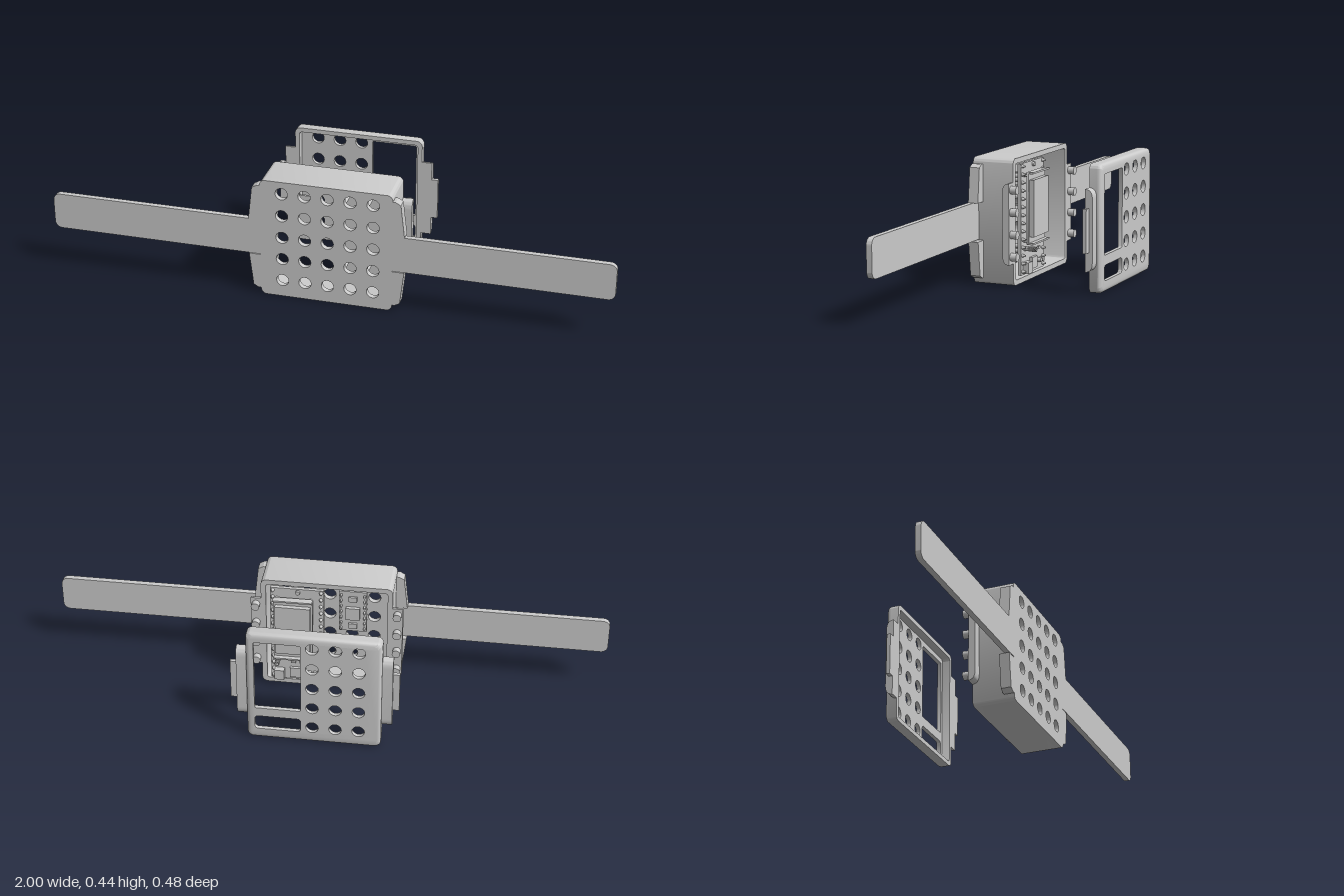
import * as THREE from 'three';
import { toCreasedNormals } from 'three/addons/utils/BufferGeometryUtils.js';

const mat = new THREE.MeshStandardMaterial({ color: 0xcccccc });
const CY = 0.2225, W = 0.235, H = 0.2225;
const COLS = [-0.157, -0.076, 0.005, 0.086, 0.167];
const ROWS = [0.063, 0.147, 0.231, 0.315, 0.4];

function add(parent, name, geo, x = 0, y = 0, z = 0) {
  const m = new THREE.Mesh(geo, mat);
  m.name = name;
  m.position.set(x, y, z);
  parent.add(m);
  return m;
}
// Box given by its limits on each axis
function block(parent, name, x0, x1, y0, y1, z0, z1) {
  return add(parent, name, new THREE.BoxGeometry(x1 - x0, y1 - y0, z1 - z0),
    (x0 + x1) / 2, (y0 + y1) / 2, (z0 + z1) / 2);
}
// Cylinder along z
function peg(parent, name, x, y, z0, z1, r0, r1 = r0, seg = 16) {
  const g = new THREE.CylinderGeometry(r1, r0, z1 - z0, seg).rotateX(Math.PI / 2);
  return add(parent, name, g, x, y, (z0 + z1) / 2);
}
function roundRect(x0, x1, y0, y1, r, Type = THREE.Shape) {
  const s = new Type();
  s.moveTo(x0 + r, y0);
  s.lineTo(x1 - r, y0);
  s.absarc(x1 - r, y0 + r, r, -Math.PI / 2, 0);
  s.lineTo(x1, y1 - r);
  s.absarc(x1 - r, y1 - r, r, 0, Math.PI / 2);
  s.lineTo(x0 + r, y1);
  s.absarc(x0 + r, y1 - r, r, Math.PI / 2, Math.PI);
  s.lineTo(x0, y0 + r);
  s.absarc(x0 + r, y0 + r, r, Math.PI, Math.PI * 1.5);
  return s;
}
function slab(shape, z0, z1, steps = 1) {
  const g = new THREE.ExtrudeGeometry(shape, { depth: z1 - z0, bevelEnabled: false, curveSegments: 10, steps });
  return g.translate(0, 0, z0);
}
const smooth = g => toCreasedNormals(g, 0.6);
function vents(shape, cols) {
  for (const x of cols) for (const y of ROWS) {
    const h = new THREE.Path();
    h.absarc(x, y, 0.022, 0, Math.PI * 2, true);
    shape.holes.push(h);
  }
}
function rim(t) {
  const s = roundRect(-W, W, 0, 2 * H, 0.02);
  s.holes.push(roundRect(-W + t, W - t, t, 2 * H - t, 0.01, THREE.Path));
  return s;
}
// Side lug: outline in the z-y plane, rounded on the corners away from the joint
function lug(parent, side, zJoint, zEnd, x0, x1) {
  const d = zEnd - zJoint, k = Math.abs(d), s = new THREE.Shape();
  s.moveTo(0, 0.08);
  s.quadraticCurveTo(k, 0.08, k, 0.08 + k * 1.3);
  s.lineTo(k, 0.365 - k * 1.3);
  s.quadraticCurveTo(k, 0.365, 0, 0.365);
  s.closePath();
  const g = new THREE.ExtrudeGeometry(s, { depth: x1 - x0, bevelEnabled: false, curveSegments: 8 });
  // Turn the thickness onto x and the width onto +z or -z
  if (d > 0) g.rotateY(-Math.PI / 2).translate(side > 0 ? x1 : -x0, 0, zJoint);
  else g.rotateY(Math.PI / 2).translate(side > 0 ? x0 : -x1, 0, zJoint);
  add(parent, 'sideLug', smooth(g));
}

function makeCase() {
  const g = new THREE.Group();
  g.name = 'case';
  const floor = roundRect(-W, W, 0, 2 * H, 0.02);
  vents(floor, COLS);
  add(g, 'ventedFloor', smooth(slab(floor, 0.22, 0.24)));
  add(g, 'caseWalls', smooth(slab(rim(0.018), 0.088, 0.22)));
  for (const s of [-1, 1]) {
    // Strap and the tapered shoulders above and below it
    const x0 = s > 0 ? W - 0.005 : -1, x1 = s > 0 ? 1 : -W + 0.005;
    add(g, 'strap', smooth(slab(roundRect(x0, x1, 0.157, 0.291, 0.025), 0.22, 0.24)));
    block(g, 'strapRoot', s > 0 ? 0.225 : -0.275, s > 0 ? 0.275 : -0.225, 0.157, 0.291, 0.22, 0.24);
    for (const v of [-1, 1]) {
      const p = [[0.23, 0.2], [0.245, 0.2], [0.263, 0.19], [0.277, 0.068], [0.23, 0.068]];
      const sh = new THREE.Shape(p.map(([x, y]) => new THREE.Vector2(s * x, CY + v * y)));
      add(g, 'strapShoulder', slab(sh, 0.203, 0.24));
    }
    lug(g, s, 0.088, 0.113, 0.23, 0.272);
    // Closing studs on the lug
    for (const y of [0.107, 0.185, 0.263, 0.341])
      peg(g, 'closingStud', s * 0.253, y, 0.064, 0.089, 0.015, 0.014, 20);
  }
  return g;
}

function makeLid() {
  const g = new THREE.Group();
  g.name = 'lid';
  const face = roundRect(-W, W, 0, 2 * H, 0.02);
  vents(face, COLS.slice(0, 3));
  face.holes.push(roundRect(0.045, 0.207, 0.13, 0.41, 0.005, THREE.Path));
  face.holes.push(roundRect(0.045, 0.207, 0.04, 0.095, 0.012, THREE.Path));
  const geo = slab(face, -0.24, -0.225, 4);
  // Round over the outer back edge
  const p = geo.attributes.position;
  for (let i = 0; i < p.count; i++) {
    const x = p.getX(i), y = p.getY(i) - CY;
    if (Math.abs(x) < 0.213 && Math.abs(y) < 0.2) continue;
    const t = (-0.225 - p.getZ(i)) / 0.015;
    const inset = 0.012 * (1 - Math.sqrt(Math.max(0, 1 - t * t)));
    p.setX(i, x * (1 - inset / W));
    p.setY(i, CY + y * (1 - inset / H));
  }
  add(g, 'lidFace', smooth(geo));
  add(g, 'lidRim', smooth(slab(rim(0.016), -0.225, -0.195)));
  for (const s of [-1, 1]) {
    lug(g, s, -0.195, -0.222, 0.228, 0.272);
    const x0 = s > 0 ? 0.268 : -0.295, x1 = s > 0 ? 0.295 : -0.268;
    block(g, 'thumbTab', x0, x1, 0.148, 0.3, -0.209, -0.195);
  }
  return g;
}

function makeElectronics() {
  const g = new THREE.Group();
  g.name = 'electronics';
  // Main board with solder pins along both edges
  block(g, 'mainBoard', 0.008, 0.2, 0.032, 0.425, 0.075, 0.088);
  for (const x of [0.018, 0.19]) for (let i = 0; i < 14; i++) {
    const y = 0.045 + i * 0.0285;
    peg(g, 'solderPin', x, y, 0.062, 0.076, 0.003, 0.007, 10);
  }
  // Display module on corner posts
  const frame = roundRect(0.045, 0.185, 0.14, 0.395, 0.004);
  add(g, 'displayModule', smooth(slab(frame, 0.052, 0.061)));
  block(g, 'displayGlass', 0.052, 0.178, 0.167, 0.368, 0.036, 0.052);
  for (const y of [0.143, 0.392]) block(g, 'displayEdge', 0.045, 0.185, y - 0.003, y + 0.003, 0.036, 0.052);
  for (const x of [0.055, 0.175]) for (const y of [0.152, 0.383])
    peg(g, 'displayPost', x, y, 0.06, 0.076, 0.006);
  // Small parts below the display
  block(g, 'connector', 0.15, 0.185, 0.037, 0.077, 0.053, 0.076);
  block(g, 'chip', 0.085, 0.13, 0.045, 0.085, 0.064, 0.076);
  for (const x of [0.04, 0.06]) peg(g, 'capacitor', x, 0.065, 0.06, 0.076, 0.008);
  for (const x of [0.05, 0.08, 0.11]) block(g, 'resistor', x, x + 0.016, 0.105, 0.114, 0.068, 0.076);
  peg(g, 'button', 0.1, 0.413, 0.066, 0.076, 0.008);
  // Coil spring
  const pts = [];
  for (let i = 0; i <= 96; i++) {
    const a = i / 12 * Math.PI * 2;
    pts.push(new THREE.Vector3(0.172 + 0.008 * Math.cos(a), 0.124 + 0.008 * Math.sin(a), 0.06 - 0.031 * i / 96));
  }
  add(g, 'spring', new THREE.TubeGeometry(new THREE.CatmullRomCurve3(pts), 120, 0.0015, 5));
  peg(g, 'springSeat', 0.172, 0.124, 0.058, 0.076, 0.008);
  // Board supports down to the floor
  for (const x of [0.045, 0.127]) for (const y of [0.105, 0.357])
    peg(g, 'boardSupport', x, y, 0.087, 0.222, 0.008);
  // Sensor board on the floor beside the main board
  block(g, 'sensorBoard', -0.135, -0.035, 0.2, 0.37, 0.165, 0.173);
  block(g, 'sensorChip', -0.11, -0.06, 0.255, 0.305, 0.152, 0.165);
  for (const x of [-0.127, -0.043]) for (let i = 0; i < 7; i++)
    peg(g, 'headerPin', x, 0.215 + i * 0.0235, 0.15, 0.222, 0.004, 0.004, 8);
  for (const y of [0.225, 0.34]) block(g, 'sensorPart', -0.1, -0.07, y - 0.01, y + 0.01, 0.157, 0.165);
  return g;
}

export function createModel() {
  const model = new THREE.Group();
  model.name = 'explodedWristDevice';
  model.add(makeCase(), makeElectronics(), makeLid());
  return model;
}
